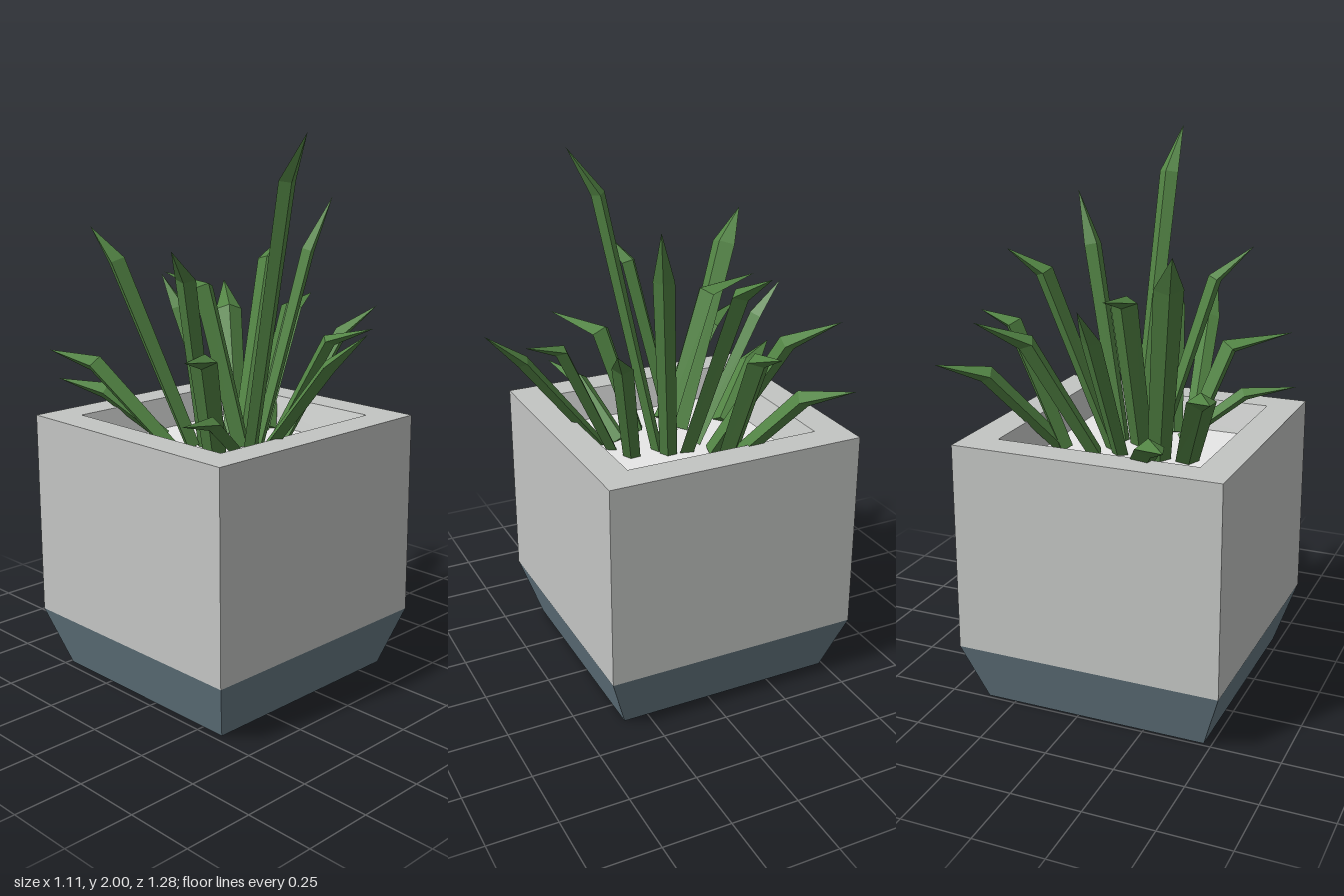
import * as THREE from 'three';

const mat = (name, color) => {
  const m = new THREE.MeshStandardMaterial({ color, flatShading: true });
  m.name = name;
  return m;
};

const FLOOR_Y = 0.87;

// Square solid from a profile of [half width, height] points
function squareLoft(name, profile, material) {
  const points = profile.map(([h, y]) => new THREE.Vector2(h * Math.SQRT2, y));
  const mesh = new THREE.Mesh(new THREE.LatheGeometry(points, 4, Math.PI / 4), material);
  mesh.name = name;
  return mesh;
}

// Leaf blade: diamond section at the root and knee, closing to a sharp tip.
// The knee lies a fraction of the way out, a little lower than the tip.
function leafGeometry([rootX, rootZ], tipPoint, [fraction, drop], width) {
  const root = new THREE.Vector3(rootX, FLOOR_Y, rootZ);
  const tip = new THREE.Vector3(...tipPoint);
  const knee = root.clone().lerp(tip, fraction).setY(tip.y - drop);
  const stem = knee.clone().sub(root).normalize();
  const reach = tip.clone().sub(root).normalize();
  const side = new THREE.Vector3(reach.z, 0, -reach.x).normalize();
  const ring = (centre, dir, w) => {
    const up = dir.clone().cross(side).normalize();
    return [[1, 0], [0, 0.65], [-1, 0], [0, -0.65]].map(([s, u]) =>
      centre.clone().addScaledVector(side, s * w / 2).addScaledVector(up, u * w / 2));
  };
  const low = ring(root, stem, width * 0.85);
  const high = ring(knee, reach, width);
  const tris = [low[0], low[2], low[1], low[0], low[3], low[2]];
  for (let i = 0; i < 4; i++) {
    const j = (i + 1) % 4;
    tris.push(low[i], low[j], high[j], low[i], high[j], high[i], high[i], high[j], tip);
  }
  const geometry = new THREE.BufferGeometry().setFromPoints(tris);
  geometry.computeVertexNormals();
  return geometry;
}

// Leaves: root [x, z], tip [x, y, z], knee [fraction, drop below tip]
const BROAD_LEAVES = [
  [[-0.14, -0.31], [-0.375, 1.08, -0.645], [0.55, 0.04]],
  [[-0.26, -0.11], [-0.49, 1.22, -0.54], [0.63, 0.04]],
  [[-0.16, -0.13], [-0.335, 1.66, -0.475], [0.74, 0.12]],
  [[-0.04, 0], [-0.06, 1.48, -0.39], [0.48, 0.04]],
  [[0.08, -0.15], [0.36, 1.4, -0.505], [0.58, 0.09]],
  [[0.22, -0.13], [0.555, 1.22, -0.445], [0.6, 0.05]],
  [[0.2, -0.14], [0.52, 1.365, -0.17], [0.6, 0.04]],
  [[0.04, -0.07], [0.39, 1.6, -0.2], [0.65, 0.08]],
  [[-0.2, 0.03], [-0.53, 1.285, 0.24], [0.4, 0.04]],
];
const SLIM_LEAVES = [
  [[-0.01, -0.13], [-0.005, 1.46, -0.47], [0.7, 0.12]],
  [[0.04, 0.01], [0.275, 1.77, 0.15], [0.67, 0.19]],
  [[0, 0.14], [0.32, 1.39, 0.33], [0.64, 0.09]],
  [[-0.1, 0.18], [0.04, 1.365, 0.545], [0.6, 0.05]],
  [[-0.165, 0.2], [-0.105, 1.375, 0.64], [0.68, 0.12]],
  [[-0.02, 0.03], [-0.065, 2, 0.335], [0.66, 0.16]],
  [[-0.15, 0.12], [-0.55, 1.08, 0.25], [0.55, 0.03]],
  [[-0.13, -0.09], [-0.43, 1.62, 0.07], [0.6, 0.11]],
];

export function createModel() {
  const concrete = mat('pale concrete', 0xc3c5c3);
  const slate = mat('slate blue', 0x667a84);
  const gravel = mat('white gravel', 0xf6f6f6);
  const green = mat('leaf green', 0x528444);

  // Planter: tapered base, square body with hollow rim, gravel bed
  const pot = new THREE.Group();
  pot.name = 'planter';
  pot.position.set(-0.057, 0, -0.073);
  pot.add(
    squareLoft('taperedBase', [[0, 0], [0.415, 0], [0.4875, 0.22]], slate),
    squareLoft('potBody', [[0.4875, 0.22], [0.4875, 0.98], [0.37, 0.98], [0.33, FLOOR_Y]], concrete),
    squareLoft('gravelBed', [[0.33, FLOOR_Y], [0, FLOOR_Y]], gravel),
  );

  // Leaves fanning out of the bed
  const plant = new THREE.Group();
  plant.name = 'leaves';
  const addLeaves = (name, leaves, width) => leaves.forEach(([root, tip, knee], i) => {
    const leaf = new THREE.Mesh(leafGeometry(root, tip, knee, width), green);
    leaf.name = `${name}${i + 1}`;
    plant.add(leaf);
  });
  addLeaves('broadLeaf', BROAD_LEAVES, 0.1);
  addLeaves('slimLeaf', SLIM_LEAVES, 0.075);

  const model = new THREE.Group();
  model.name = 'pottedPlant';
  model.add(pot, plant);
  return model;
}
